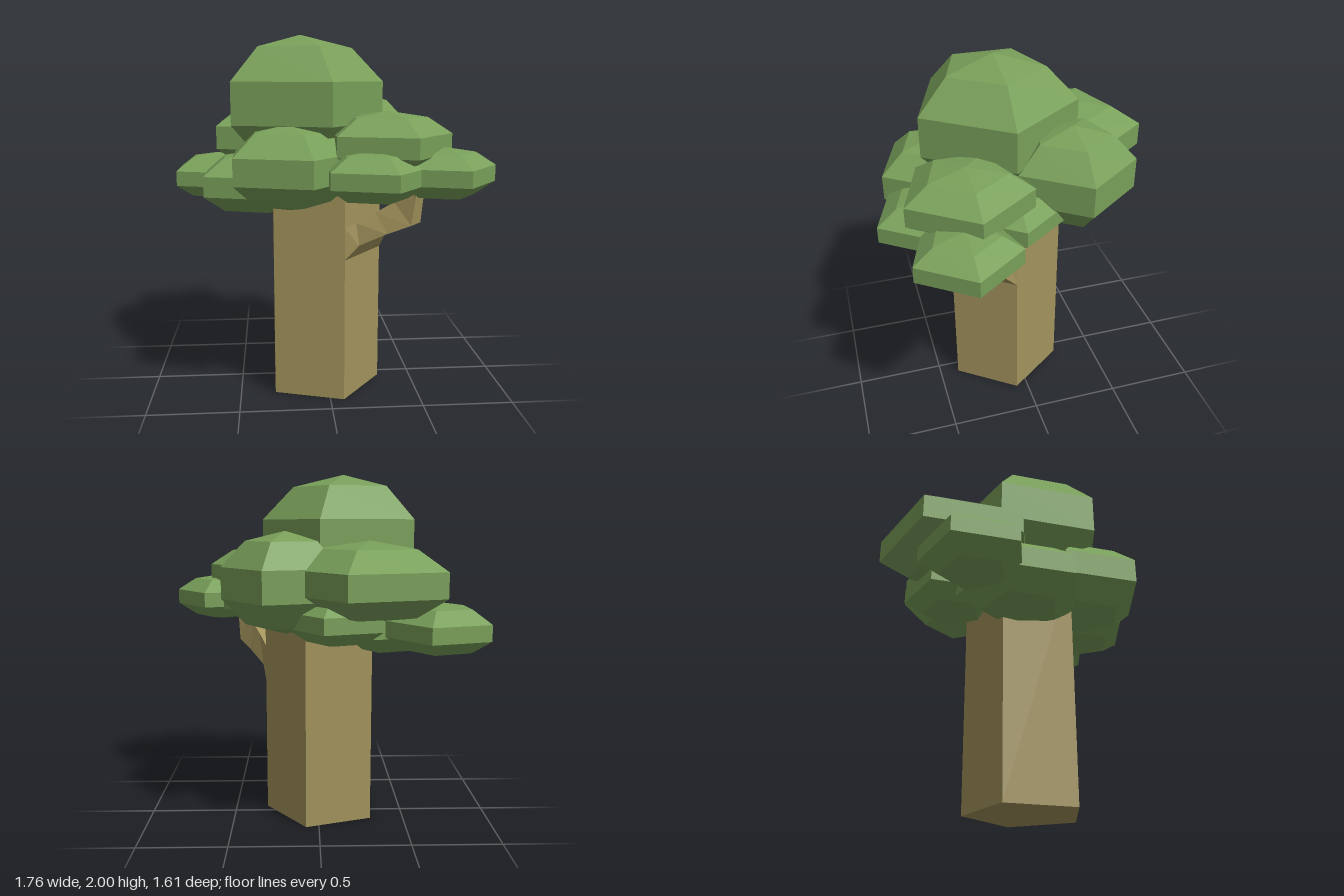
import * as THREE from 'three';

const leafGreen = new THREE.MeshStandardMaterial({ color: 0x79a05a });
const barkBrown = new THREE.MeshStandardMaterial({ color: 0xa3935c });
leafGreen.name = 'leafGreen';
barkBrown.name = 'barkBrown';

// Faceted mesh: one normal per triangle
function facetedMesh(geometry, material, name) {
  const flat = geometry.index ? geometry.toNonIndexed() : geometry;
  flat.computeVertexNormals();
  const mesh = new THREE.Mesh(flat, material);
  mesh.name = name;
  return mesh;
}

// Five-sided foliage clump with a corner towards +x; r is the radius of its widest ring
function foliageClump(x, y, z, r, halfHeight, name) {
  const g = new THREE.SphereGeometry(1, 5, 5);
  const wide = r / Math.sin(Math.PI * 0.4);
  g.rotateY(Math.PI).scale(wide, halfHeight, wide).translate(x, y, z);
  return facetedMesh(g, leafGreen, name);
}

// Tapered branch lofted through four-cornered sections growing out of one trunk face
function branchGeometry() {
  // outer distance, outer height, inner distance, inner height, half width
  const sections = [
    [0, 0.8, 0, 0.975, 0.2],
    [0.06, 0.88, 0.04, 1.0, 0.15],
    [0.2, 0.95, 0.13, 1.06, 0.1],
    [0.32, 1.0, 0.22, 1.12, 0.06],
    [0.34, 1.15, 0.24, 1.18, 0.05],
    [0.34, 1.3, 0.24, 1.3, 0.05],
  ];
  const a = Math.PI / 5;
  const point = (d, y, w) => [
    0.1925 + d * Math.cos(a) + w * Math.sin(a),
    y,
    0.2285 + d * Math.sin(a) - w * Math.cos(a),
  ];
  const positions = [], index = [];
  for (const [od, oy, id, iy, w] of sections) {
    positions.push(...point(od, oy, w), ...point(id, iy, w), ...point(id, iy, -w), ...point(od, oy, -w));
  }
  for (let s = 0; s < sections.length - 1; s++) {
    for (let k = 0; k < 4; k++) {
      const p = s * 4 + k, q = s * 4 + (k + 1) % 4;
      index.push(p, q, q + 4, p, q + 4, p + 4);
    }
  }
  const e = (sections.length - 1) * 4;
  index.push(e, e + 1, e + 2, e, e + 2, e + 3);
  const g = new THREE.BufferGeometry();
  g.setAttribute('position', new THREE.Float32BufferAttribute(positions, 3));
  g.setIndex(index);
  return g;
}

export function createModel() {
  const tree = new THREE.Group();
  tree.name = 'tree';

  // Five-sided trunk, its top hidden in the foliage
  const trunk = new THREE.CylinderGeometry(0.34, 0.34, 1.35, 5, 1, false, Math.PI / 2);
  trunk.translate(-0.03, 0.675, 0.067);
  tree.add(facetedMesh(trunk, barkBrown, 'trunk'));
  tree.add(facetedMesh(branchGeometry(), barkBrown, 'branch'));

  // x, y, z, radius, half height
  const clumps = {
    crownFoliage: [-0.145, 1.635, 0.07, 0.463, 0.365],
    backRightFoliage: [-0.262, 1.424, -0.378, 0.455, 0.214],
    backLeftFoliage: [0.183, 1.41, -0.275, 0.347, 0.277],
    frontLeftFoliage: [0.302, 1.424, 0.335, 0.353, 0.173],
    frontRightFoliage: [-0.219, 1.307, 0.379, 0.353, 0.228],
    leftTipFoliage: [0.586, 1.272, 0.41, 0.289, 0.14],
    frontLowFoliage: [0.205, 1.272, 0.524, 0.29, 0.14],
    leftLowFoliage: [0.266, 1.272, 0.085, 0.289, 0.14],
    rightTipFoliage: [-0.643, 1.172, -0.373, 0.293, 0.142],
    rightLowFoliage: [-0.4, 1.172, -0.055, 0.358, 0.185],
    backLowFoliage: [-0.1, 1.22, -0.38, 0.275, 0.14],
  };
  for (const [name, c] of Object.entries(clumps)) tree.add(foliageClump(...c, name));
  return tree;
}
